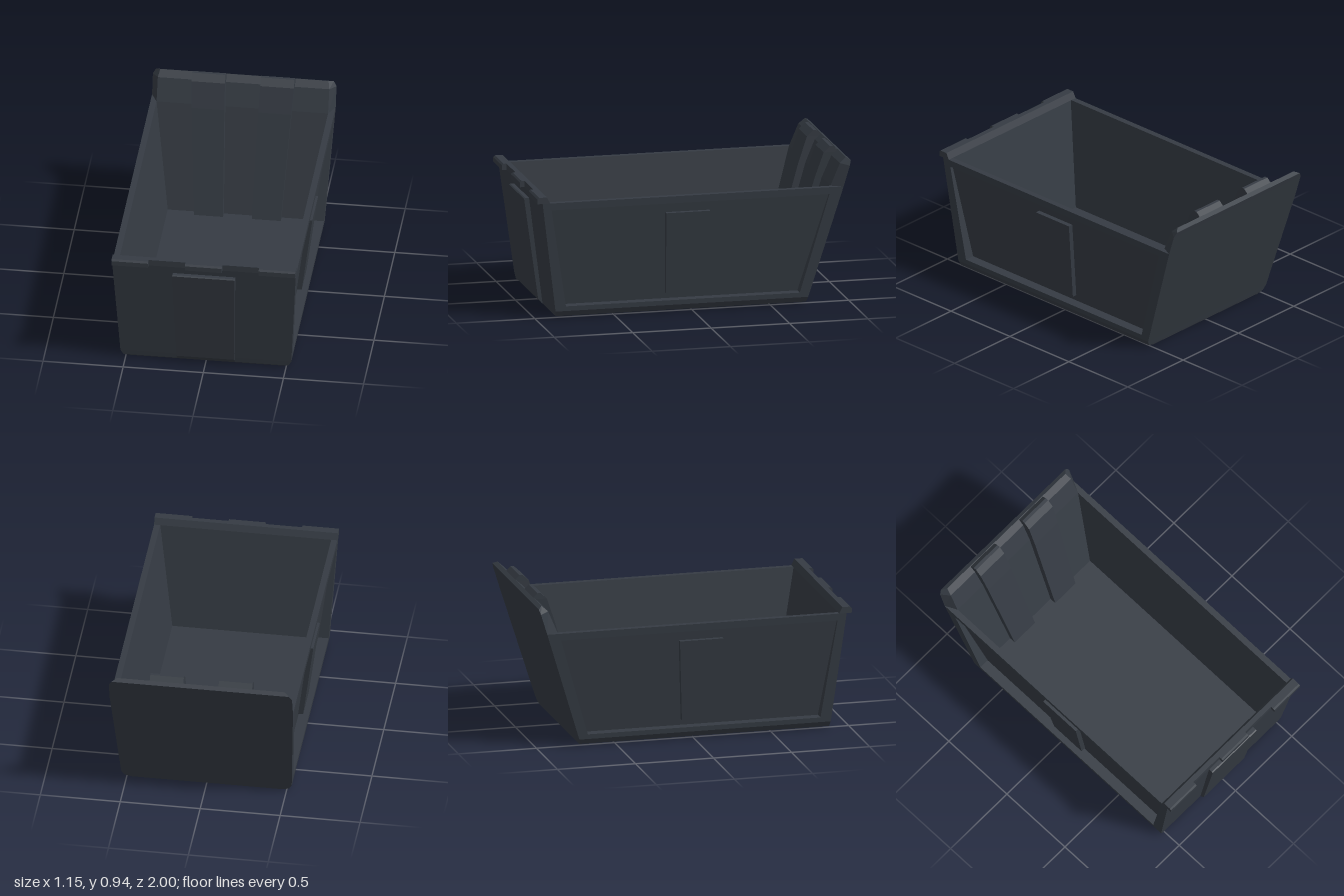
import * as THREE from 'three';

const steel = new THREE.MeshStandardMaterial({ color: 0x353b43, flatShading: true, side: THREE.DoubleSide });
steel.name = 'dark slate';

// Joins four-cornered loops with quads; sides picks which quads are made
function loft(name, loops, { start = true, end = true, sides = [0, 1, 2, 3] } = {}) {
  const pos = [];
  const quad = (a, b, c, d) => pos.push(...a, ...b, ...c, ...a, ...c, ...d);
  for (let k = 0; k + 1 < loops.length; k++) {
    const a = loops[k], b = loops[k + 1];
    for (const i of sides) {
      const j = (i + 1) % 4;
      quad(a[i], a[j], b[j], b[i]);
    }
  }
  if (start) quad(...[...loops[0]].reverse());
  if (end) quad(...loops[loops.length - 1]);
  const geo = new THREE.BufferGeometry();
  geo.setAttribute('position', new THREE.Float32BufferAttribute(pos, 3));
  geo.computeVertexNormals();
  const mesh = new THREE.Mesh(geo, steel);
  mesh.name = name;
  return mesh;
}

// Level loop from x0 to x1, front zf to back zb
const span = (y, x0, x1, zf, zb) => [[x0, y, zf], [x1, y, zf], [x1, y, zb], [x0, y, zb]];
const ring = (y, hx, zf, zb) => span(y, -hx, hx, zf, zb);

// Leaning side walls: outer face, and a recess that is deeper towards the base
const outerX = (y) => 0.533 + 0.04 * (y - 0.045) / 0.7;
const recessX = (y) => outerX(y) - 0.065 + 0.045 * (y - 0.075) / 0.625;

// Loop on a side wall from [y, z] points, with x given by a rule
function sideLoop(s, xAt, pts) {
  const loop = pts.map(([y, z]) => [s * xAt(y), y, z]);
  return s > 0 ? loop : loop.reverse();
}

export function createModel() {
  const g = new THREE.Group();
  g.name = 'bucket';

  // Tub: chamfered base, front and back walls, rim and inside
  const foot = ring(0.045, 0.533, 0.876, -0.734);
  const rim = ring(0.745, 0.573, 0.968, -0.95);
  g.add(loft('base', [ring(0, 0.47, 0.858, -0.72), ring(0.012, 0.515, 0.871, -0.724), foot], { end: false }));
  g.add(loft('endWalls', [foot, rim], { start: false, end: false, sides: [0, 2] }));
  g.add(loft('inside', [rim, ring(0.745, 0.535, 0.925, -0.875), ring(0.08, 0.44, 0.793, -0.68)], { start: false }));

  // Side walls with a recessed panel and an upright rib
  const edge = [[0.045, 0.876], [0.045, -0.734], [0.745, -0.95], [0.745, 0.968]];
  const inset = [[0.075, 0.81], [0.075, -0.68], [0.7, -0.86], [0.7, 0.91]];
  const rib = [[0.115, 0.165], [0.115, -0.07], [0.64, -0.1], [0.64, 0.18]];
  for (const s of [1, -1]) {
    const side = s > 0 ? 'left' : 'right';
    g.add(loft(side + 'Wall', [sideLoop(s, outerX, edge), sideLoop(s, outerX, inset), sideLoop(s, recessX, inset)], { start: false }));
    g.add(loft(side + 'Rib', [sideLoop(s, recessX, rib), sideLoop(s, (y) => recessX(y) + 0.031, rib)], { start: false }));
  }

  // Front plate fading into the base chamfer
  g.add(loft('frontPlate', [
    ring(0.012, 0.178, 0.872, 0.84), ring(0.045, 0.18, 0.9, 0.86),
    ring(0.69, 0.195, 0.993, 0.95), ring(0.695, 0.195, 0.985, 0.95),
  ]));

  // Front lip with three tabs
  g.add(loft('frontLip', [ring(0.745, 0.573, 0.972, 0.92), ring(0.785, 0.573, 0.972, 0.94)]));
  for (const [x0, x1] of [[-0.573, -0.345], [-0.115, 0.115], [0.345, 0.573]]) {
    g.add(loft('lipTab', [
      span(0.745, x0, x1, 1, 0.97), span(0.775, x0, x1, 1, 0.97), span(0.785, x0, x1, 0.99, 0.97),
    ]));
  }

  // Raised back panel with slanted ends and clipped top corners
  const panel = [
    [0.745, 0.535, -0.875, 0.745, 0.573, -0.95],
    [0.885, 0.535, -0.935, 0.875, 0.573, -0.99],
    [0.92, 0.525, -0.975, 0.905, 0.555, -1],
  ].map(([yf, hf, zf, yb, hb, zb]) => [[-hf, yf, zf], [hf, yf, zf], [hb, yb, zb], [-hb, yb, zb]]);
  g.add(loft('backPanel', panel));

  // Two tapered ribs up the inside of the back
  for (const s of [1, -1]) {
    const level = (y, a, b, zf, zb) => span(y, Math.min(s * a, s * b), Math.max(s * a, s * b), zf, zb);
    g.add(loft('backRib', [
      level(0.08, 0.09, 0.27, -0.64, -0.69), level(0.745, 0.106, 0.31, -0.83, -0.89),
      level(0.905, 0.11, 0.32, -0.885, -0.985), level(0.943, 0.11, 0.32, -0.925, -0.945),
    ]));
  }
  return g;
}
